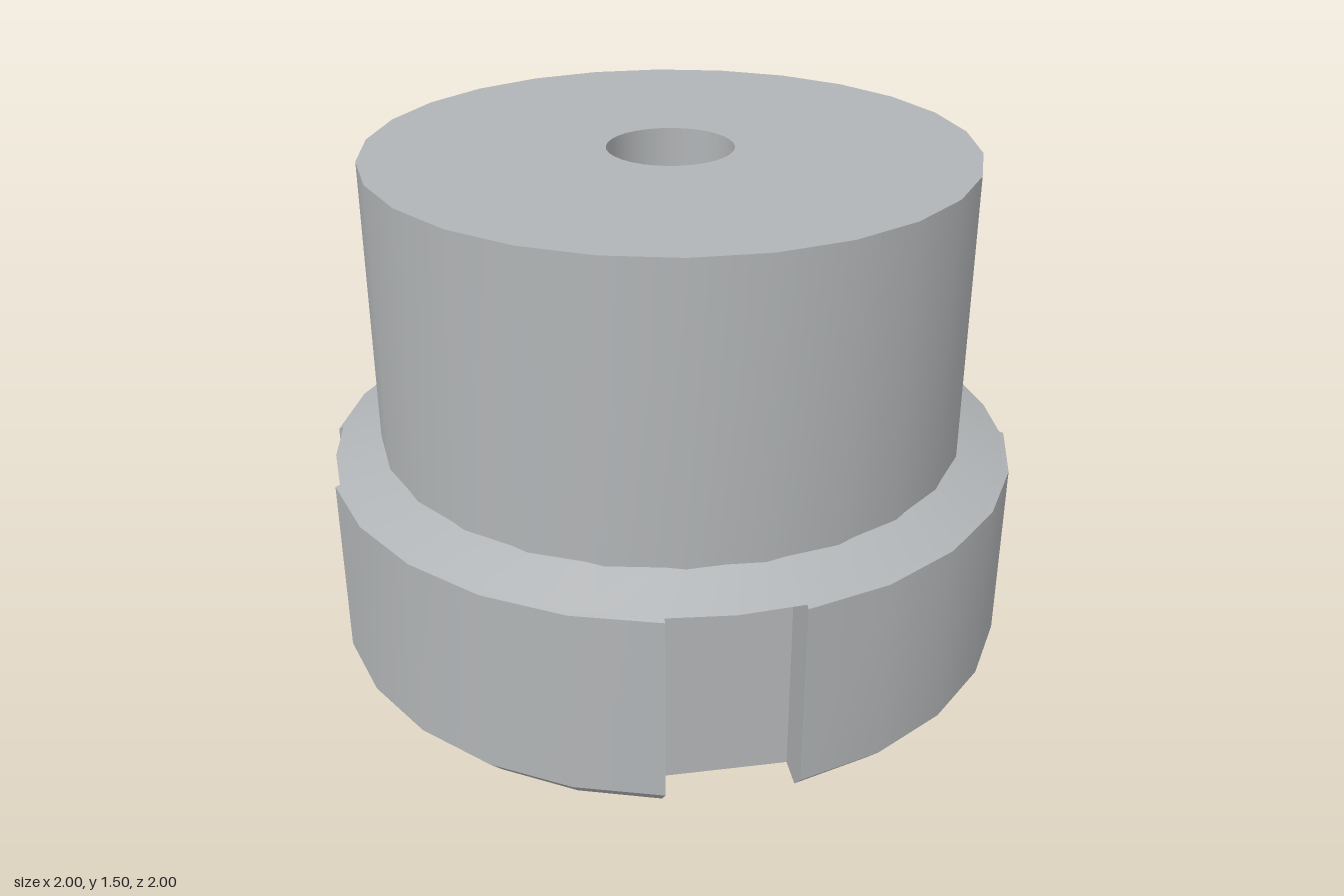
import * as THREE from 'three';
import { toCreasedNormals } from 'three/addons/utils/BufferGeometryUtils.js';

const SLOT = 0.18;    // half width of a slot
const FLOOR = 0.85;   // distance of the slot floor from the axis
const ROOF = 0.605;   // height of the slot roof
const RIM = 0.999;    // collar radius at the slot roof
const BODY = 0.863;
const BORE = 0.18;
const TOP = 1.495;

// Points [x, z] of a circle, starting on +x; dir -1 turns the surface inwards.
function circle(r, n, dir = 1) {
  return Array.from({ length: n }, (_, i) => {
    const a = Math.PI / 2 + dir * i * 2 * Math.PI / n;
    return [r * Math.sin(a), r * Math.cos(a)];
  });
}

// Arc between two neighbouring slots in quarter q.
function quarterArc(r, q, start = Math.asin(SLOT / r)) {
  return Array.from({ length: 6 }, (_, i) => {
    const a = q * Math.PI / 2 + start + (Math.PI / 2 - 2 * start) * i / 5;
    return [r * Math.sin(a), r * Math.cos(a)];
  });
}

function turn([x, z], q) {
  const c = Math.cos(q * Math.PI / 2), s = Math.sin(q * Math.PI / 2);
  return [x * c + z * s, z * c - x * s];
}

// Collar outline with four slots cut in.
function slottedRing(r) {
  return [0, 1, 2, 3].flatMap(q =>
    [turn([-SLOT, FLOOR], q), turn([SLOT, FLOOR], q), ...quarterArc(r, q)]);
}

// Collar outline above the slots.
function fullRing(r) {
  const start = Math.asin(SLOT / RIM);
  return [0, 1, 2, 3].flatMap(q => [turn([0, r], q), ...quarterArc(r, q, start)]);
}

// Closed wall through rings of equal point count, at the given heights.
function loft(rings, heights) {
  const pos = [];
  for (let k = 0; k < rings.length - 1; k++) {
    const n = rings[k].length;
    for (let i = 0; i < n; i++) {
      const j = (i + 1) % n;
      const P = (ring, m) => [rings[ring][m][0], heights[ring], rings[ring][m][1]];
      pos.push(...P(k, i), ...P(k, j), ...P(k + 1, j),
        ...P(k, i), ...P(k + 1, j), ...P(k + 1, i));
    }
  }
  const g = new THREE.BufferGeometry();
  g.setAttribute('position', new THREE.Float32BufferAttribute(pos, 3));
  return toCreasedNormals(g, 0.5);
}

// Horizontal face, optionally with the bore through it.
function face(points, y, up, bored) {
  const toVec = ([x, z]) => new THREE.Vector2(x, up ? -z : z);
  const shape = new THREE.Shape(points.map(toVec));
  if (bored) shape.holes.push(new THREE.Path(circle(BORE, 32).map(toVec)));
  return new THREE.ShapeGeometry(shape).rotateX(up ? -Math.PI / 2 : Math.PI / 2).translate(0, y, 0);
}

export function createModel() {
  const steel = new THREE.MeshStandardMaterial({ color: 0xb1b4b6 });
  steel.name = 'steel grey';
  const model = new THREE.Group();
  model.name = 'slottedBush';
  const add = (name, geometry) => {
    const mesh = new THREE.Mesh(geometry, steel);
    mesh.name = name;
    model.add(mesh);
  };

  // Upper cylinder and bore
  add('bodyWall', loft([circle(BODY, 26), circle(BODY, 26)], [0.65, TOP]));
  add('bodyTop', face(circle(BODY, 26), TOP, true, true));
  add('bore', loft([circle(BORE, 32, -1), circle(BORE, 32, -1)], [0, TOP]));

  // Collar with bevelled bottom edge and slots
  add('collarWall', loft([0.955, 1.012, 1.012, RIM].map(slottedRing), [0, 0.06, 0.6, ROOF]));
  add('collarBottom', face(slottedRing(0.955), 0, false, true));

  // Sloping shoulder, carried slightly into the body
  add('shoulder', loft([fullRing(RIM), fullRing(0.85)], [ROOF, 0.665]));

  // Undersides of the shoulder above each slot
  const edge = Math.sqrt(RIM * RIM - SLOT * SLOT);
  const roof = [[-SLOT, FLOOR], [SLOT, FLOOR], [SLOT, edge], [0, RIM], [-SLOT, edge]];
  for (let q = 0; q < 4; q++) {
    add('slotRoof', face(roof.map(p => turn(p, q)), ROOF, false, false));
  }
  return model;
}
